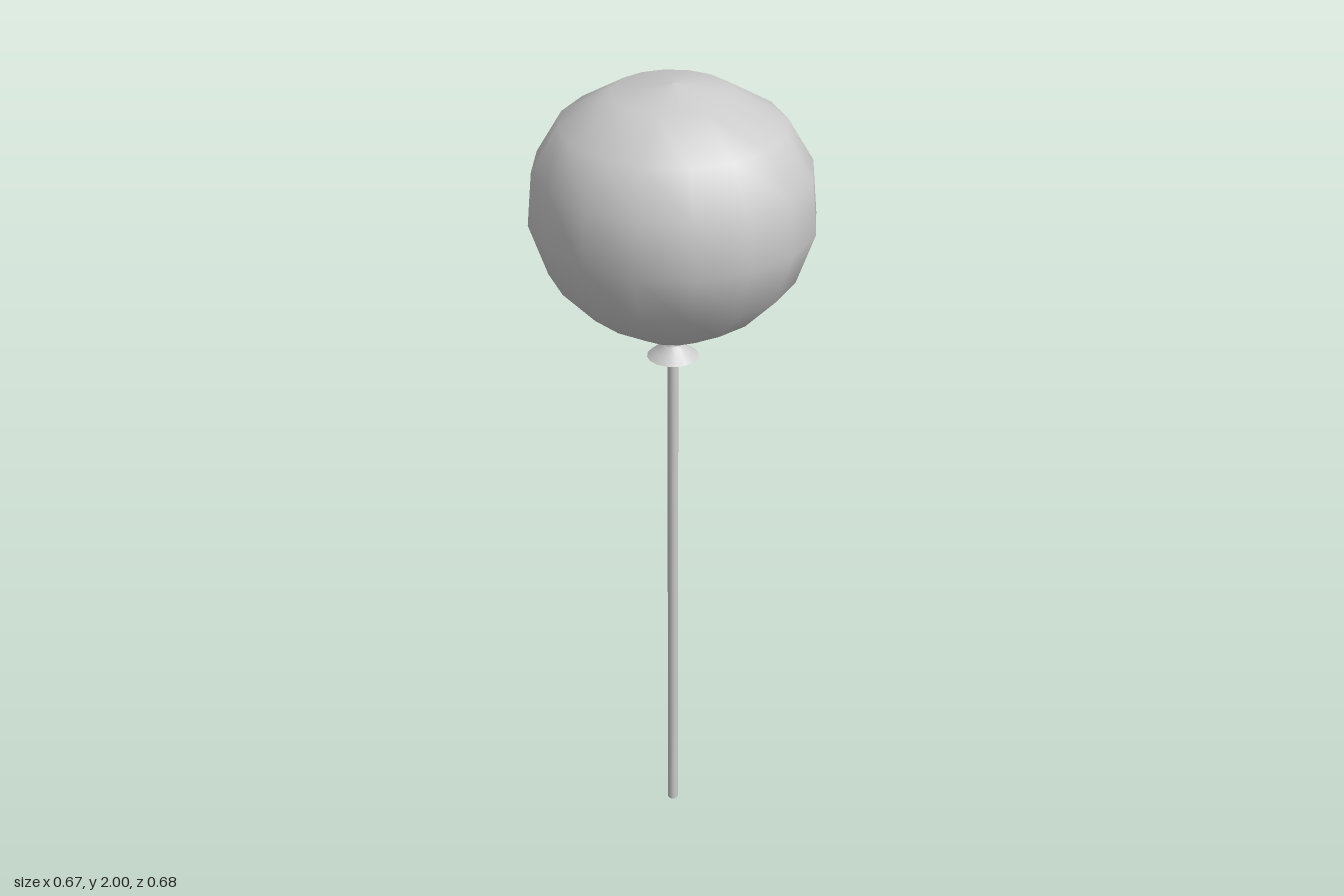
import * as THREE from 'three';

const grey = (side = THREE.FrontSide) => new THREE.MeshStandardMaterial({ color: 0xcccccc, side });

// Turned part from [radius, height] pairs, listed bottom to top
function turned(name, profile, sides, material) {
  const points = profile.map(([r, y]) => new THREE.Vector2(r, y));
  const mesh = new THREE.Mesh(new THREE.LatheGeometry(points, sides), material);
  mesh.name = name;
  return mesh;
}

export function createModel() {
  const group = new THREE.Group();
  group.name = 'balloonOnStick';

  // Inflated body, slightly narrower in x than in z
  const body = turned('balloonBody', [
    [0.02, 1.362], [0.105, 1.395], [0.212, 1.458], [0.297, 1.545], [0.342, 1.67],
    [0.331, 1.80], [0.268, 1.905], [0.145, 1.978], [0, 2.0],
  ], 16, grey(THREE.DoubleSide));
  body.scale.x = 0.975;
  group.add(body);

  // Pinched neck and hollow flared lip below the body
  group.add(turned('balloonLip', [
    [0.062, 1.316], [0.044, 1.331], [0.025, 1.347], [0.021, 1.356], [0.027, 1.37],
  ], 16, grey(THREE.DoubleSide)));

  // Straight stick
  const stick = new THREE.Mesh(new THREE.CylinderGeometry(0.013, 0.013, 1.36, 12), grey());
  stick.name = 'stick';
  stick.position.y = 0.68;
  group.add(stick);

  return group;
}
